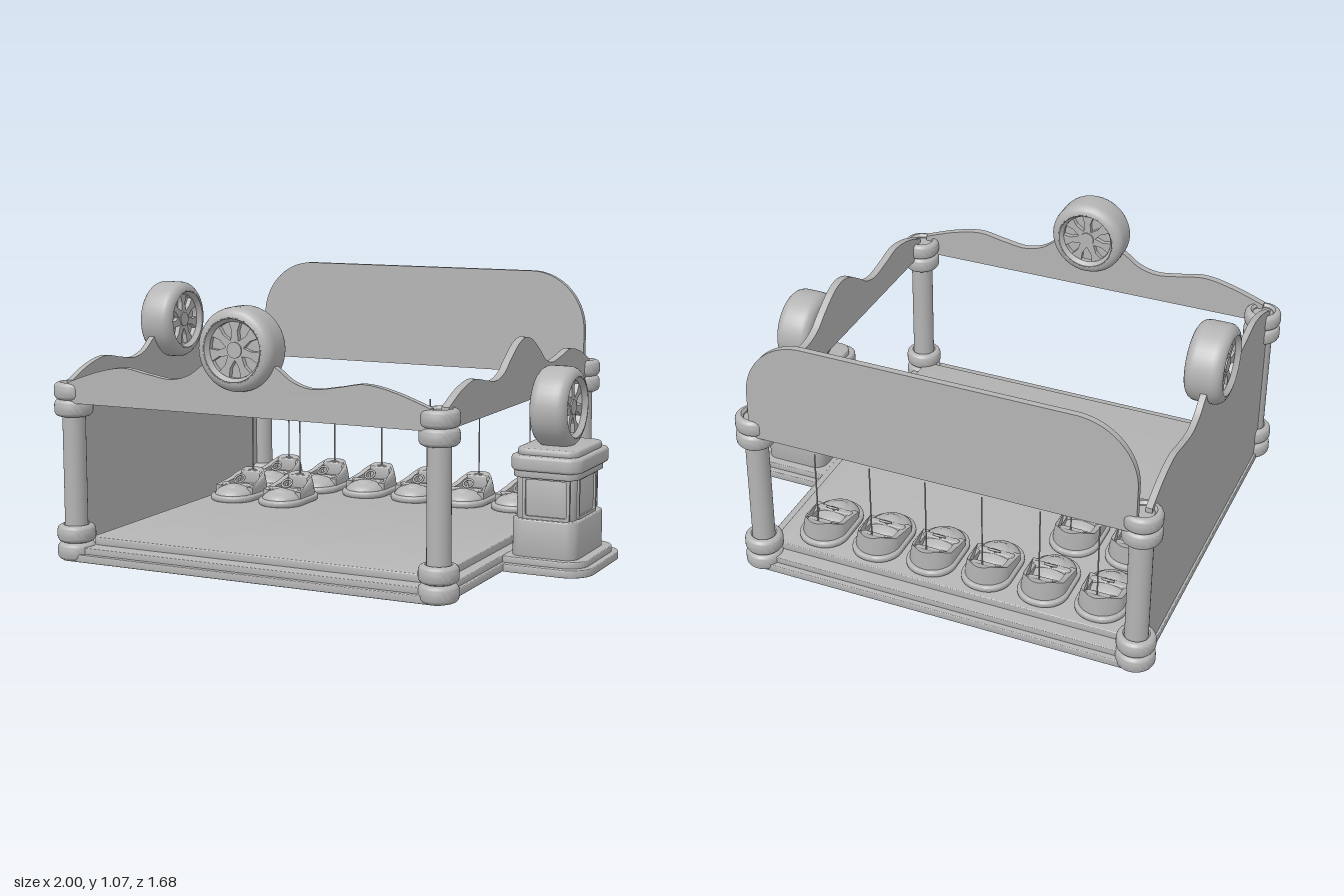
import * as THREE from 'three';
import { toCreasedNormals } from 'three/addons/utils/BufferGeometryUtils.js';

const grey = new THREE.MeshStandardMaterial({ color: 0xb4b4b4 });
grey.name = 'plain grey';

function add(parent, name, geo, x = 0, y = 0, z = 0) {
  const m = new THREE.Mesh(geo, grey);
  m.name = name;
  m.position.set(x, y, z);
  parent.add(m);
  return m;
}

// Rounded rectangle outline centred on the origin
function roundRect(w, h, r) {
  const s = new THREE.Shape(), a = w / 2, b = h / 2;
  s.moveTo(-a + r, -b);
  s.lineTo(a - r, -b).absarc(a - r, -b + r, r, -Math.PI / 2, 0);
  s.lineTo(a, b - r).absarc(a - r, b - r, r, 0, Math.PI / 2);
  s.lineTo(-a + r, b).absarc(-a + r, b - r, r, Math.PI / 2, Math.PI);
  s.lineTo(-a, -b + r).absarc(-a + r, -b + r, r, Math.PI, Math.PI * 1.5);
  return s;
}

// Horizontal slab with rounded plan corners and a softened edge
function slab(parent, name, [x0, x1], [y0, y1], [z0, z1], r, bevel = 0.005) {
  const shape = roundRect(x1 - x0 - 2 * bevel, z1 - z0 - 2 * bevel, Math.max(r - bevel, 0.002));
  const g = new THREE.ExtrudeGeometry(shape, {
    depth: y1 - y0 - 2 * bevel, bevelSize: bevel, bevelThickness: bevel, bevelSegments: 3, curveSegments: 10,
  });
  g.rotateX(-Math.PI / 2).translate((x0 + x1) / 2, y0 + bevel, (z0 + z1) / 2);
  return add(parent, name, toCreasedNormals(g, 0.6));
}

// Closed tyre profile spun about y, centred on the origin
function tyreGeo(R, inner, width, r) {
  const h = width / 2, p = [[inner, -h + r * 0.5], [inner + r * 0.4, -h], [R - r, -h]];
  for (let i = 1; i <= 5; i++) {
    const a = (i / 5) * Math.PI / 2;
    p.push([R - r + r * Math.sin(a), -h + r - r * Math.cos(a)]);
  }
  const all = [...p, ...p.slice().reverse().map(([x, y]) => [x, -y]), p[0]];
  return toCreasedNormals(new THREE.LatheGeometry(all.map(q => new THREE.Vector2(...q)), 40), 0.6);
}

// Spoked wheel, axle along z
function wheel(name) {
  const g = new THREE.Group();
  g.name = name;
  add(g, 'tyre', tyreGeo(0.157, 0.105, 0.15, 0.04).rotateX(Math.PI / 2));
  add(g, 'rimDisc', new THREE.CylinderGeometry(0.106, 0.106, 0.07, 40).rotateX(Math.PI / 2));
  const spoke = new THREE.Shape();
  [[-0.02, 0], [-0.012, 0.07], [-0.024, 0.104], [0.024, 0.104], [0.012, 0.07], [0.02, 0]]
    .forEach(([x, y], i) => (i ? spoke.lineTo(x, y) : spoke.moveTo(x, y)));
  const spokeGeo = new THREE.ExtrudeGeometry(spoke, { depth: 0.11, bevelEnabled: false }).translate(0, 0, -0.055);
  for (let i = 0; i < 7; i++) add(g, 'spoke', spokeGeo).rotation.z = (i / 7) * Math.PI * 2;
  add(g, 'hub', new THREE.CylinderGeometry(0.03, 0.03, 0.12, 24).rotateX(Math.PI / 2));
  return g;
}

// Upright board with a wavy top, centred on the origin along x
function waveBoard(half, bottom, thick) {
  const side = [[0.155, 0.81], [0.22, 0.765], [0.3, 0.745], [0.4, 0.758], [0.51, 0.775], [0.63, 0.752], [half, 0.705]];
  const pts = [...side.slice().reverse(), [0.07, 0.86], [0, 0.876], [-0.07, 0.86], ...side.map(([x, y]) => [-x, y])];
  const s = new THREE.Shape();
  s.moveTo(-half, bottom).lineTo(half, bottom);
  s.lineTo(half, 0.705);
  s.splineThru(pts.slice(1).map(p => new THREE.Vector2(...p)));
  const g = new THREE.ExtrudeGeometry(s, { depth: thick, bevelEnabled: false, curveSegments: 50 });
  return toCreasedNormals(g.translate(0, 0, -thick / 2), 0.6);
}

// Cockpit tub: a U in plan whose wall rises and leans in toward the back
function tubGeo() {
  const s = new THREE.Shape();
  s.moveTo(0.064, -0.06).lineTo(0.09, -0.06);
  s.lineTo(0.09, 0.05).absellipse(0, 0.05, 0.09, 0.09, 0, Math.PI, false);
  s.lineTo(-0.09, -0.06).lineTo(-0.064, -0.06);
  s.lineTo(-0.064, 0.05).absellipse(0, 0.05, 0.064, 0.062, Math.PI, 0, true);
  const g = new THREE.ExtrudeGeometry(s, { depth: 1, bevelEnabled: false, steps: 4, curveSegments: 16 });
  g.rotateX(-Math.PI / 2);
  const p = g.attributes.position;
  for (let i = 0; i < p.count; i++) {
    const f = p.getY(i), t = THREE.MathUtils.clamp((-p.getZ(i) - 0.03) / 0.09, 0, 1);
    p.setX(i, p.getX(i) * (1 - 0.25 * f * f * t));
    p.setY(i, 0.012 + f * (0.045 + 0.052 * t));
  }
  return toCreasedNormals(g, 0.7);
}

function makeCar() {
  const car = new THREE.Group();
  car.name = 'bumperCar';
  slab(car, 'bumper', [-0.101, 0.101], [0, 0.028], [-0.153, 0.153], 0.095, 0.01);
  add(car, 'tub', tubGeo());
  const hood = new THREE.SphereGeometry(1, 28, 10, 0, Math.PI * 2, 0, Math.PI / 2);
  add(car, 'hood', hood.clone().scale(0.088, 0.045, 0.095), 0, 0.02, 0.05);
  add(car, 'noseDome', hood.clone().scale(0.045, 0.022, 0.04), 0, 0.048, 0.065);
  slab(car, 'dashboard', [-0.075, 0.075], [0.02, 0.065], [0.015, 0.045], 0.012);
  slab(car, 'seat', [-0.062, 0.062], [0.02, 0.045], [-0.1, -0.02], 0.015);
  slab(car, 'backrest', [-0.05, 0.05], [0.04, 0.1], [-0.112, -0.085], 0.012);
  add(car, 'steeringWheel', new THREE.TorusGeometry(0.022, 0.005, 8, 20).rotateX(-0.9), 0, 0.082, 0.012);
  add(car, 'steeringColumn', new THREE.CylinderGeometry(0.005, 0.005, 0.04, 8).rotateX(-0.5), 0, 0.066, 0.022);
  add(car, 'pole', new THREE.CylinderGeometry(0.003, 0.003, 0.38, 8), 0, 0.225, -0.108);
  return car;
}

export function createModel() {
  const root = new THREE.Group();
  root.name = 'bumperCarRide';

  // Stepped platform
  slab(root, 'platformBase', [-0.96, 0.668], [0, 0.03], [-0.825, 0.79], 0.03, 0.003);
  slab(root, 'platformStep', [-0.945, 0.655], [0.028, 0.056], [-0.8, 0.77], 0.03, 0.003);
  slab(root, 'floor', [-0.87, 0.61], [0.05, 0.086], [-0.74, 0.705], 0.04, 0.004);

  // Corner posts with stacked tyre rings
  const ring = tyreGeo(0.075, 0.042, 0.068, 0.022);
  for (const x of [-0.92, 0.63]) for (const z of [-0.77, 0.73]) {
    add(root, 'post', new THREE.CylinderGeometry(0.045, 0.045, 0.685, 28), x, 0.3435, z);
    for (const y of [0.035, 0.105, 0.602, 0.668]) add(root, 'postRing', ring, x, y, z);
  }

  // Wavy fascia boards, the closed left wall and the tall back sign
  add(root, 'frontFascia', waveBoard(0.765, 0.625, 0.03), -0.145, 0, 0.772);
  add(root, 'rightFascia', waveBoard(0.745, 0.625, 0.03), 0.65, 0, -0.018).rotation.y = Math.PI / 2;
  add(root, 'leftWall', waveBoard(0.745, 0.03, 0.025), -0.938, 0, -0.018).rotation.y = Math.PI / 2;
  const sign = new THREE.Shape();
  sign.moveTo(-0.77, 0.63).lineTo(0.77, 0.63);
  sign.lineTo(0.77, 0.82).absellipse(0.53, 0.82, 0.24, 0.245, 0, Math.PI / 2);
  sign.lineTo(-0.53, 1.065).absellipse(-0.53, 0.82, 0.24, 0.245, Math.PI / 2, Math.PI);
  const signGeo = new THREE.ExtrudeGeometry(sign, { depth: 0.025, bevelEnabled: false, curveSegments: 16 });
  add(root, 'backSign', toCreasedNormals(signGeo, 0.6), -0.145, 0, -0.825);

  // Decorative wheels
  const wheels = [['frontWheel', -0.147, 0.875, 0.765, 0], ['leftWheel', -0.925, 0.875, -0.012, 1], ['boothWheel', 0.806, 0.617, -0.012, 1]];
  for (const [name, x, y, z, side] of wheels) {
    const w = wheel(name);
    w.position.set(x, y, z);
    w.rotation.y = side * Math.PI / 2;
    root.add(w);
  }

  // Ticket booth
  const booth = new THREE.Group();
  booth.name = 'ticketBooth';
  root.add(booth);
  slab(booth, 'plinth', [0.6, 1], [0, 0.03], [-0.262, 0.212], 0.1, 0.003);
  slab(booth, 'plinthStep', [0.6, 0.975], [0.028, 0.055], [-0.235, 0.185], 0.08, 0.003);
  slab(booth, 'lowerBody', [0.672, 0.938], [0.05, 0.2], [-0.198, 0.158], 0.05);
  slab(booth, 'cabin', [0.682, 0.918], [0.195, 0.37], [-0.172, 0.138], 0.045);
  slab(booth, 'cornice', [0.674, 0.938], [0.36, 0.395], [-0.198, 0.158], 0.05);
  slab(booth, 'roof', [0.668, 0.956], [0.388, 0.447], [-0.215, 0.178], 0.06, 0.012);
  slab(booth, 'roofCap', [0.685, 0.935], [0.44, 0.472], [-0.187, 0.147], 0.05, 0.01);
  // Window frames on the open sides
  const frame = (w) => {
    const s = roundRect(w, 0.165, 0.01);
    s.holes.push(roundRect(w - 0.024, 0.141, 0.008));
    return new THREE.ExtrudeGeometry(s, { depth: 0.009, bevelEnabled: false });
  };
  add(booth, 'sideWindowFrame', frame(0.2), 0.917, 0.283, -0.017).rotation.y = Math.PI / 2;
  add(booth, 'frontWindowFrame', frame(0.19), 0.815, 0.283, 0.137);
  add(booth, 'backWindowFrame', frame(0.19), 0.815, 0.283, -0.171).rotation.y = Math.PI;

  // Parked cars: a full back row and two in the second row
  const car = makeCar();
  for (let i = 0; i < 8; i++) {
    const c = car.clone();
    c.position.set(-0.73 + (i % 6) * 0.233, 0.086, i < 6 ? -0.568 : -0.235);
    root.add(c);
  }
  return root;
}
